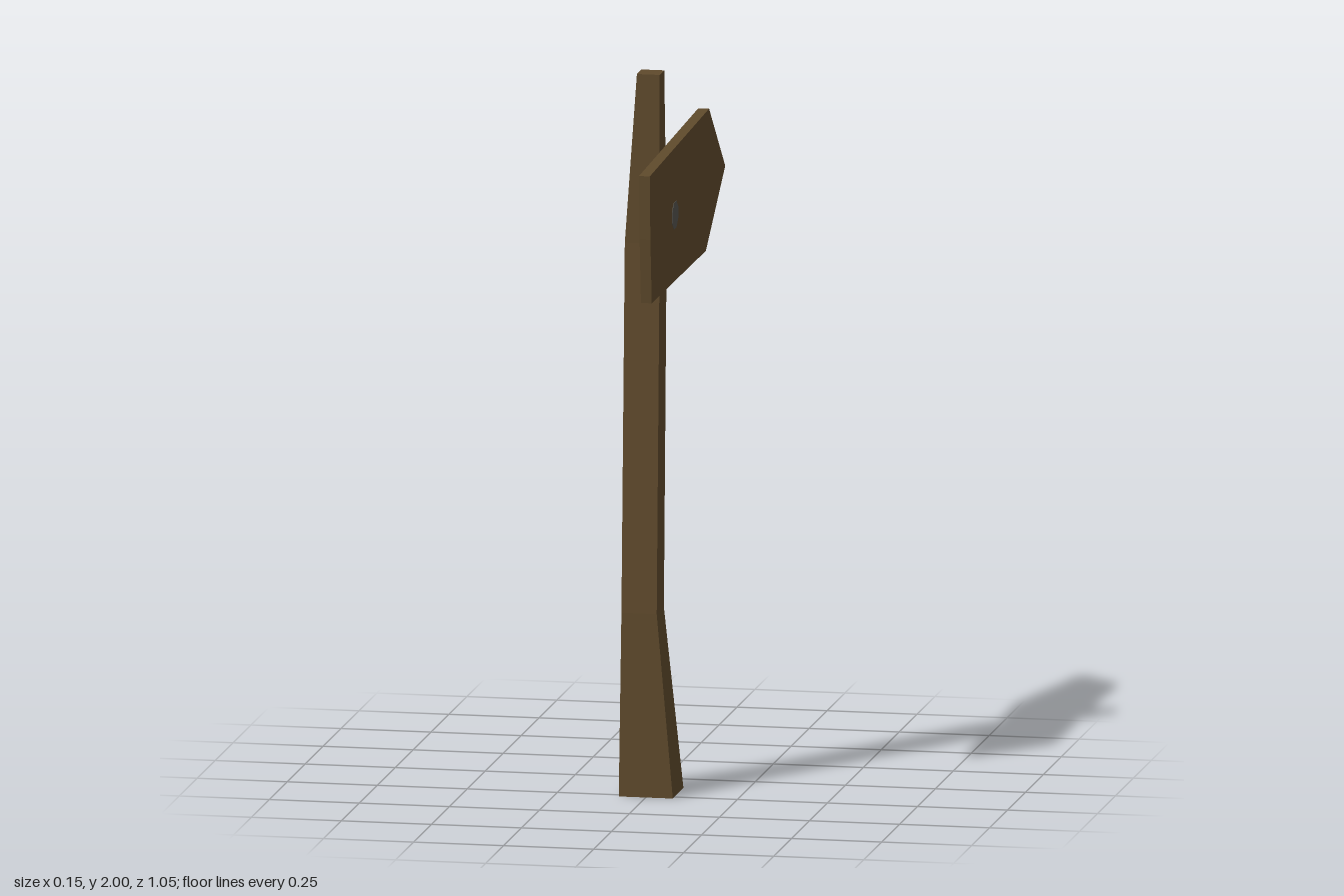
import * as THREE from 'three';

const wood = new THREE.MeshStandardMaterial({ color: 0x5f4a2c });
wood.name = 'brownWood';
const iron = new THREE.MeshStandardMaterial({ color: 0x56544e });
iron.name = 'greyIron';

// Lofts rectangular sections [y, x0, x1, z0, z1], bottom to top, into a faceted post
function loftPost(sections) {
  const positions = [];
  const index = [];
  for (const [y, x0, x1, z0, z1] of sections) {
    positions.push(x0, y, z0, x0, y, z1, x1, y, z1, x1, y, z0);
  }
  for (let s = 0; s < sections.length - 1; s++) {
    for (let i = 0; i < 4; i++) {
      const a = s * 4 + i;
      const b = s * 4 + (i + 1) % 4;
      index.push(a, b, b + 4, a, b + 4, a + 4);
    }
  }
  const t = (sections.length - 1) * 4;
  index.push(0, 2, 1, 0, 3, 2, t, t + 1, t + 2, t, t + 2, t + 3);
  const indexed = new THREE.BufferGeometry();
  indexed.setAttribute('position', new THREE.Float32BufferAttribute(positions, 3));
  indexed.setIndex(index);
  const geometry = indexed.toNonIndexed();
  geometry.computeVertexNormals();
  return geometry;
}

export function createModel() {
  const model = new THREE.Group();
  model.name = 'signpost';
  const add = (name, geometry, material) => {
    const mesh = new THREE.Mesh(geometry, material);
    mesh.name = name;
    model.add(mesh);
    return mesh;
  };

  // Crooked post: flared foot, leaning shaft, tapered top
  add('post', loftPost([
    [0, -0.075, 0.075, 0.123, 0.272],
    [0.51, -0.068, 0.03, 0.17, 0.27],
    [1.53, -0.067, 0.03, 0.13, 0.228],
    [2, -0.033, 0.03, 0.165, 0.23],
  ]), wood);

  // Arrow board on the left face of the post, pointing backwards
  const outline = [
    [-0.528, 1.778], [-0.519, 1.6], [-0.5, 1.42],
    [0.255, 1.417], [0.525, 1.6], [0.3, 1.803],
  ].map(([x, y]) => new THREE.Vector2(x, y));
  const boardGeometry = new THREE.ExtrudeGeometry(new THREE.Shape(outline), {
    depth: 0.03, bevelEnabled: false,
  });
  boardGeometry.rotateY(Math.PI / 2);
  add('arrowBoard', boardGeometry, wood).position.x = 0.032;

  // Flat nail head
  const nailGeometry = new THREE.CylinderGeometry(0.043, 0.043, 0.004, 8).toNonIndexed();
  nailGeometry.rotateY(Math.PI / 8);
  nailGeometry.rotateZ(-Math.PI / 2);
  nailGeometry.scale(1, 0.92, 1.05);
  nailGeometry.computeVertexNormals();
  add('nailHead', nailGeometry, iron).position.set(0.0615, 1.602, 0.178);

  return model;
}
